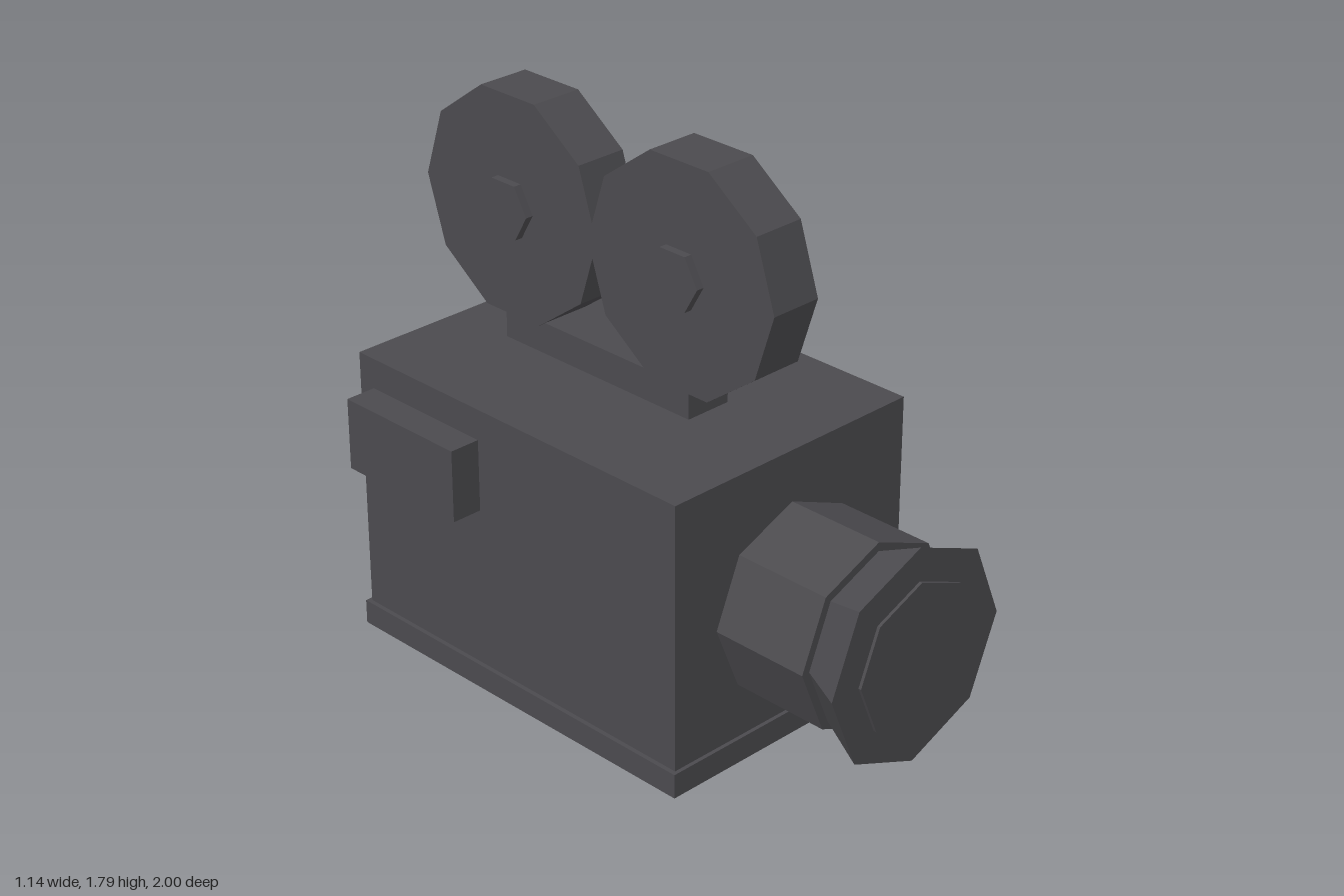
import * as THREE from 'three';

function material(name, color) {
  const m = new THREE.MeshStandardMaterial({ color });
  m.name = name;
  m.flatShading = true;
  return m;
}

export function createModel() {
  const model = new THREE.Group();
  model.name = 'filmCamera';
  const charcoal = material('charcoal', 0x4b4a4e);
  const red = material('red', 0xc0392b);
  const yellow = material('yellow', 0xc9a233);
  const green = material('green', 0x3a984a);

  const add = (name, geometry, mat = charcoal) => {
    const mesh = new THREE.Mesh(geometry, mat);
    mesh.name = name;
    model.add(mesh);
    return mesh;
  };
  // box given by its extents on each axis
  const box = (name, [x0, x1], [y0, y1], [z0, z1], mat) =>
    add(name, new THREE.BoxGeometry(x1 - x0, y1 - y0, z1 - z0), mat)
      .position.set((x0 + x1) / 2, (y0 + y1) / 2, (z0 + z1) / 2);

  const cx = 0.015; // centre line of the lens and reels

  // case
  box('base', [-0.482, 0.513], [0, 0.082], [-0.905, 0.505]);
  box('body', [-0.467, 0.498], [0.08, 0.97], [-0.892, 0.492]);
  box('reelBracket', [-0.067, 0.098], [0.96, 1.075], [-0.655, 0.145]);
  box('viewfinder', [-0.572, -0.46], [0.627, 0.867], [-0.83, -0.345]);
  box('sideHandle', [0.49, 0.567], [0.42, 0.695], [-0.618, -0.552]);

  // control buttons
  [['redButton', 0.175, red], ['yellowButton', 0.02, yellow], ['greenButton', -0.131, green]]
    .forEach(([name, z, mat]) => box(name, [0.49, 0.538], [0.28, 0.36], [z - 0.04, z + 0.04], mat));

  // octagonal lens parts, pointing forward
  const lensPart = (name, rBack, rFront, z0, z1) => {
    const g = new THREE.CylinderGeometry(rFront, rBack, z1 - z0, 8).rotateX(Math.PI / 2);
    add(name, g).position.set(cx, 0.487, (z0 + z1) / 2);
  };
  lensPart('lensBarrel', 0.312, 0.312, 0.48, 0.832);
  lensPart('lensHood', 0.282, 0.358, 0.83, 0.988);
  lensPart('lensFront', 0.247, 0.247, 0.97, 0.998);

  // film reels with hubs on both sides
  const disc = (name, r, width, sides, z) => {
    const g = new THREE.CylinderGeometry(r, r, width, sides).rotateZ(Math.PI / 2);
    add(name, g).position.set(cx, 1.423, z);
  };
  [['front', 0.11], ['rear', -0.617]].forEach(([side, z]) => {
    disc(side + 'Reel', 0.382, 0.18, 10, z);
    disc(side + 'ReelHub', 0.102, 0.234, 6, z);
  });

  return model;
}
